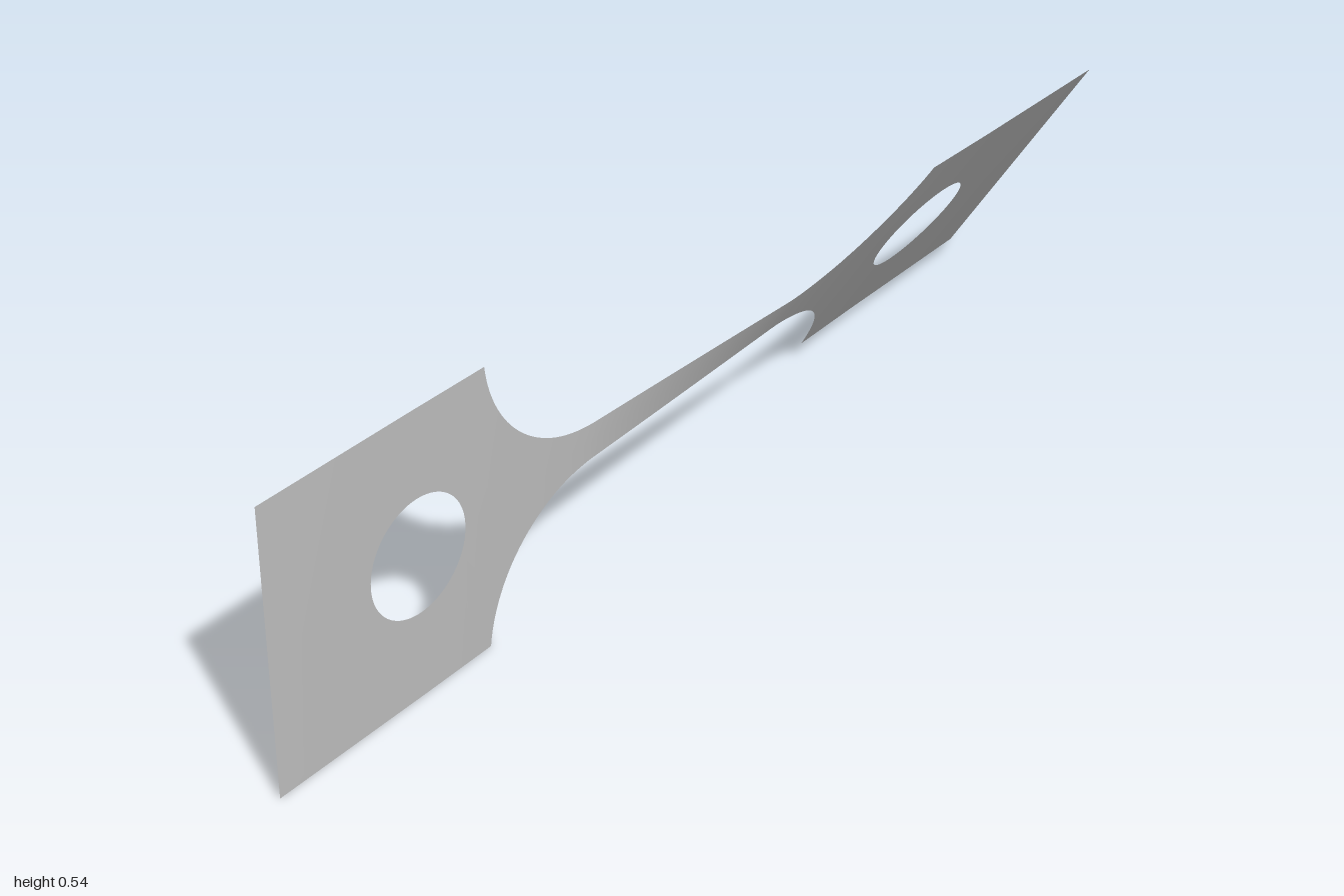
import * as THREE from 'three';
import { mergeVertices } from 'three/addons/utils/BufferGeometryUtils.js';

const HALF = 0.271;                      // half height of the grips
const NECK = 0.036;                      // half height of the neck
const R = 0.265, FX = 0.246, FY = NECK + R; // fillet radius and centre
const GRIP = FX + Math.sqrt(R * R - (FY - HALF) ** 2); // inner end of a grip
const HOLE_X = 0.67, HOLE_R = 0.108;
const TWIST = 31.8;                      // total twist in degrees

// Half the twist on each side: distance from the middle, degrees from the mean
const TWIST_KEYS = [[0, 0], [0.28, 13.1], [0.38, 14.3], [0.51, 14.9], [0.67, 15.4], [1, 15.9]];

function twistAt(x) {
  const d = Math.abs(x);
  let i = 1;
  while (i < TWIST_KEYS.length - 1 && d > TWIST_KEYS[i][0]) i++;
  const [x0, t0] = TWIST_KEYS[i - 1], [x1, t1] = TWIST_KEYS[i];
  const t = t0 + ((t1 - t0) * (d - x0)) / (x1 - x0);
  return THREE.MathUtils.degToRad(TWIST / 2 + Math.sign(x) * t);
}

// Upper outline of the untwisted plate
function outer(x) {
  const d = Math.abs(x);
  if (d >= GRIP - 1e-6) return HALF;
  return d > FX ? FY - Math.sqrt(R * R - (d - FX) ** 2) : NECK;
}

// Half chord of the hole
function inner(x) {
  return Math.sqrt(Math.max(0, HOLE_R ** 2 - (Math.abs(x) - HOLE_X) ** 2));
}

// Evenly stepped values of f(0..1)
const steps = (n, f) => Array.from({ length: n + 1 }, (_, i) => f(i / n));

// Ruled sheet over the stations xs, in an upper and a lower strip
function sheet(xs) {
  const pos = [], idx = [];
  for (const s of [1, -1]) {
    const base = pos.length / 3;
    xs.forEach((x, i) => {
      const a = twistAt(x);
      for (const v of [s * inner(x), s * outer(x)]) {
        pos.push(x, HALF + v * Math.cos(a), v * Math.sin(a));
      }
      if (i === 0) return;
      const p = base + 2 * (i - 1), q = p + 2;
      if (s > 0) idx.push(p, q, q + 1, p, q + 1, p + 1);
      else idx.push(p, q + 1, q, p, p + 1, q + 1);
    });
  }
  let g = new THREE.BufferGeometry();
  g.setAttribute('position', new THREE.Float32BufferAttribute(pos, 3));
  g.setIndex(idx);
  g = mergeVertices(g, 1e-6);
  g.computeVertexNormals();
  return g;
}

export function createModel() {
  const group = new THREE.Group();
  const steel = new THREE.MeshStandardMaterial({ color: 0xc0c0c0, side: THREE.DoubleSide });
  steel.name = 'grey steel';

  const add = (name, xs) => {
    const mesh = new THREE.Mesh(sheet(xs), steel);
    mesh.name = name;
    group.add(mesh);
  };

  // Stations from the middle outwards
  const aMax = Math.asin((GRIP - FX) / R);
  const fillet = steps(28, (t) => FX + R * Math.sin(aMax * t));
  const grip = [
    GRIP,
    ...steps(40, (t) => HOLE_X - HOLE_R * Math.cos(Math.PI * t)),
    ...steps(4, (t) => HOLE_X + HOLE_R + (1 - HOLE_X - HOLE_R) * t).slice(1),
  ];
  const mirror = (xs) => xs.map((x) => -x).reverse();

  // Square grips with round holes
  add('leftGrip', grip);
  add('rightGrip', mirror(grip));
  // Curved shoulders
  add('leftShoulder', fillet);
  add('rightShoulder', mirror(fillet));
  // Narrow twisted neck
  add('neck', steps(40, (t) => FX * (2 * t - 1)));

  return group;
}
